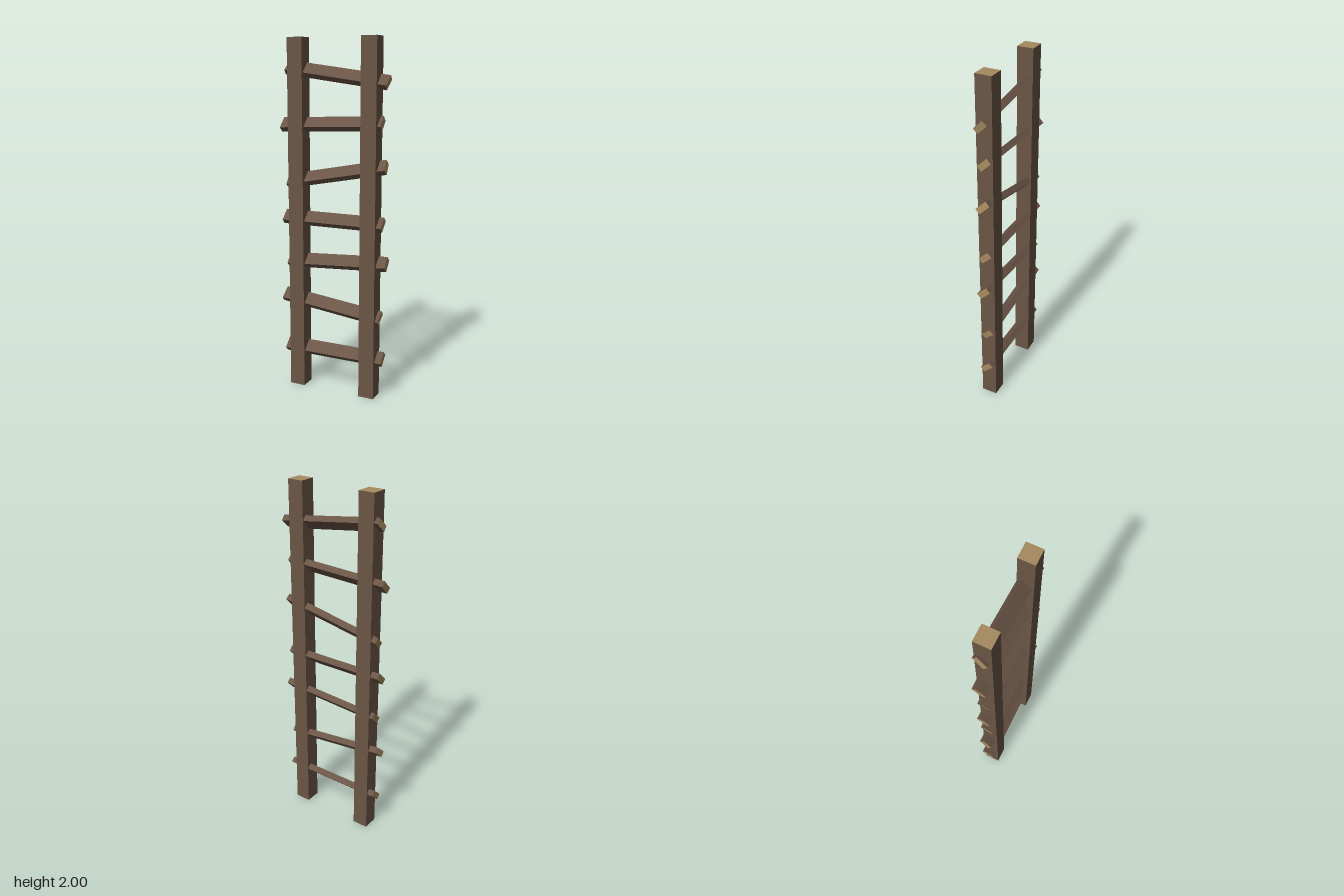
import * as THREE from 'three';

export function createModel() {
  const bark = new THREE.MeshStandardMaterial({ color: 0x6b5546 });
  bark.name = 'brown wood';
  const endGrain = new THREE.MeshStandardMaterial({ color: 0xa58a5e });
  endGrain.name = 'tan end grain';

  const ladder = new THREE.Group();
  ladder.name = 'ladder';

  // Upright posts, with end grain on top and bottom
  const postGeometry = new THREE.BoxGeometry(0.09, 2, 0.09);
  const postMaterials = [bark, bark, endGrain, endGrain, bark, bark];
  for (const side of [-1, 1]) {
    const post = new THREE.Mesh(postGeometry, postMaterials);
    post.name = side > 0 ? 'leftPost' : 'rightPost';
    post.position.set(side * 0.2175, 1, 0);
    ladder.add(post);
  }

  // Crooked rungs: centre x, centre y, slope in degrees
  const rungs = [
    [0, 0.228, 0],
    [-0.018, 0.502, -6.6],
    [0.016, 0.767, 3.5],
    [-0.01, 1.003, 0],
    [0.01, 1.264, 10.6],
    [-0.019, 1.538, 2],
    [0.014, 1.801, -7.7],
  ];
  const rungGeometry = new THREE.BoxGeometry(0.6, 0.035, 0.076);
  const rungMaterials = [endGrain, endGrain, bark, bark, bark, bark];
  rungs.forEach(([x, y, slope], i) => {
    const rung = new THREE.Mesh(rungGeometry, rungMaterials);
    rung.name = `rung${i + 1}`;
    rung.position.set(x, y, -0.005);
    // Tread tips toward the front, then the whole rung slopes sideways
    rung.rotation.set(
      THREE.MathUtils.degToRad(44), 0, THREE.MathUtils.degToRad(slope), 'ZYX');
    ladder.add(rung);
  });

  return ladder;
}
